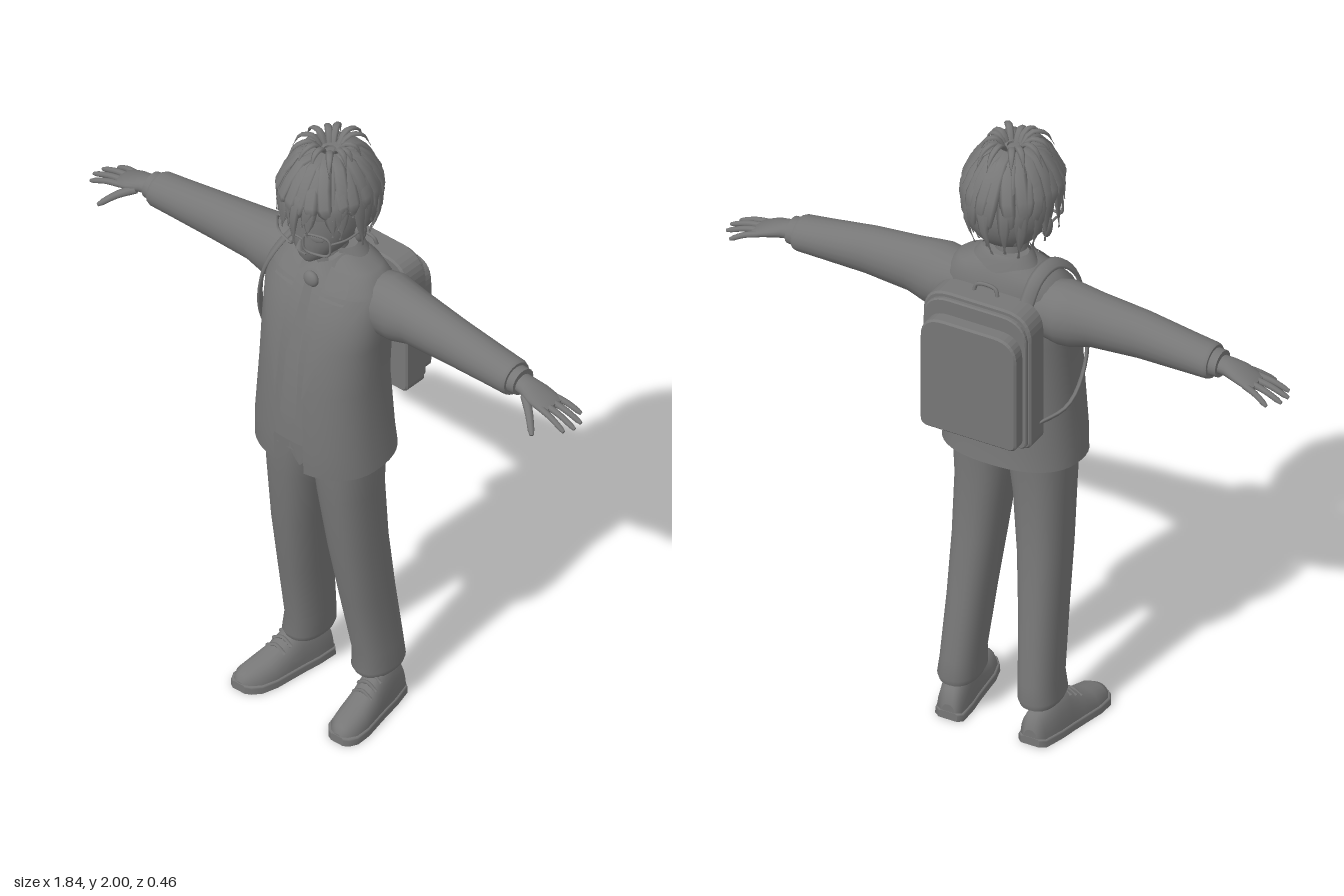
import * as THREE from 'three';

const V = (x, y, z) => new THREE.Vector3(x, y, z);
const grey = new THREE.MeshStandardMaterial({ color: 0x777777, side: THREE.DoubleSide });
grey.name = 'grey';

// skin a list of rings, each running counter-clockwise about the direction of travel
function loft(rings, { open = false, caps = !open } = {}) {
  const n = rings[0].length, pos = [], idx = [];
  rings.forEach(r => r.forEach(p => pos.push(p.x, p.y, p.z)));
  for (let i = 0; i + 1 < rings.length; i++)
    for (let j = 0; j < (open ? n - 1 : n); j++) {
      const k = (j + 1) % n, a = i * n + j, b = i * n + k;
      idx.push(a, b, a + n, b, b + n, a + n);
    }
  if (caps) [0, rings.length - 1].forEach((i, end) => {
    const c = rings[i].reduce((s, p) => s.add(p), V(0, 0, 0)).divideScalar(n);
    const base = pos.length / 3;
    [...rings[i], c].forEach(p => pos.push(p.x, p.y, p.z));
    for (let j = 0; j < n; j++) {
      const k = (j + 1) % n;
      idx.push(base + n, base + (end ? j : k), base + (end ? k : j));
    }
  });
  const g = new THREE.BufferGeometry();
  g.setAttribute('position', new THREE.Float32BufferAttribute(pos, 3));
  g.setIndex(idx);
  g.computeVertexNormals();
  return g;
}

// mirrored copy across x with corrected winding
function mirror(g) {
  const m = g.clone().scale(-1, 1, 1);
  if (m.index) {
    const a = m.index.array;
    for (let i = 0; i < a.length; i += 3) [a[i], a[i + 1]] = [a[i + 1], a[i]];
  }
  m.computeVertexNormals();
  return m;
}

const pw = (v, e) => Math.sign(v) * Math.abs(v) ** e;
// level ring: centre x, half width, front z, back z; a = half opening at the front
function ringY(y, cx, rx, zf, zb, n = 32, p = 2.4, a = 0) {
  return Array.from({ length: n }, (_, i) => {
    const t = a ? a + (Math.PI * 2 - 2 * a) * i / (n - 1) : Math.PI * 2 * i / n;
    return V(cx + rx * pw(Math.sin(t), 2 / p), y, (zf + zb) / 2 + (zf - zb) / 2 * pw(Math.cos(t), 2 / p));
  });
}
const ringX = (x, y, z, ry, rz, n = 20) => Array.from({ length: n }, (_, i) => {
  const t = Math.PI * 2 * i / n;
  return V(x, y + ry * Math.cos(t), z + rz * Math.sin(t));
});

// tapered strip swept along a smooth path; "centre" sets which way is outward
function strand(pts, width, thick, centre, taper, steps = 8, n = 6) {
  const c = new THREE.CatmullRomCurve3(pts), rings = [];
  for (let i = 0; i <= steps; i++) {
    const u = i / steps, p = c.getPoint(u), T = c.getTangent(u);
    const side = p.clone().sub(centre).cross(T).normalize();
    const out = T.clone().cross(side), k = taper(u);
    rings.push(Array.from({ length: n }, (_, j) => {
      const t = Math.PI * 2 * j / n;
      return p.clone().addScaledVector(side, width * k * Math.cos(t)).addScaledVector(out, thick * k * Math.sin(t));
    }));
  }
  return loft(rings);
}

// jacket profile: y, half width, front z, back z
const JACKET = [[0.91, 0.215, 0.215, -0.117], [1.0, 0.21, 0.22, -0.11], [1.2, 0.195, 0.212, -0.1],
  [1.35, 0.2, 0.19, -0.1], [1.45, 0.21, 0.162, -0.105], [1.53, 0.2, 0.12, -0.1],
  [1.575, 0.15, 0.085, -0.085], [1.6, 0.095, 0.07, -0.07], [1.62, 0.07, 0.055, -0.055]];
function frontZ(x, y) {
  let i = 0;
  while (i < JACKET.length - 2 && JACKET[i + 1][0] < y) i++;
  const A = JACKET[i], B = JACKET[i + 1], f = (y - A[0]) / (B[0] - A[0]);
  const [, rx, zf, zb] = A.map((v, k) => v + (B[k] - v) * f);
  const q = Math.max(0, 1 - Math.abs(x / rx) ** 2.4);
  return (zf + zb) / 2 + (zf - zb) / 2 * q ** (1 / 2.4);
}
// cloth panel lying on the chest; rows are y, x0, x1 from bottom to top
const panel = (rows, off) => loft(rows.map(([y, a, b]) => Array.from({ length: 7 }, (_, i) => {
  const x = a + (b - a) * i / 6;
  return V(x, y, frontZ(x, y) + off);
})), { open: true });

export function createModel() {
  const model = new THREE.Group();
  const add = (name, g) => {
    const m = new THREE.Mesh(g, grey);
    m.name = name;
    model.add(m);
    return m;
  };
  const pair = (name, g) => { add(name + 'Left', g); add(name + 'Right', mirror(g)); };
  const ball = (rx, ry, rz, x, y, z) => new THREE.SphereGeometry(1, 24, 16).scale(rx, ry, rz).translate(x, y, z);
  const tube = (pts, r, n = 20) => new THREE.TubeGeometry(new THREE.CatmullRomCurve3(pts), n, r, 6);

  // open jacket with a hem slightly higher at the back
  const rings = JACKET.map(([y, rx, zf, zb]) => ringY(y, 0, rx, zf, zb, 44, 2.4, 0.2));
  rings[0].forEach(p => { p.y += (0.2 - p.z) * 0.09; });
  add('jacket', loft(rings, { open: true }));
  add('vest', loft(JACKET.slice(1).map(([y, rx, zf, zb], i) =>
    ringY(i ? y : 0.97, 0, rx * 0.94, zf - 0.012, zb + 0.012))));
  pair('vestPoint', panel([[0.925, 0.03, 0.034], [0.96, 0.004, 0.065], [1.0, 0, 0.07]], -0.011));
  pair('lapel', panel([[1.18, 0.05, 0.054], [1.3, 0.05, 0.1], [1.4, 0.05, 0.14], [1.47, 0.05, 0.17], [1.52, 0.05, 0.185]], 0.007));
  pair('upperLapel', panel([[1.5, 0.05, 0.13], [1.55, 0.05, 0.125], [1.585, 0.05, 0.09]], 0.008));
  add('tie', panel([[1.055, -0.002, 0.002], [1.1, -0.03, 0.03], [1.3, -0.025, 0.025], [1.52, -0.015, 0.015]], 0.003));
  add('tieKnot', ball(0.026, 0.026, 0.016, 0, 1.535, 0.116));
  add('jacketCollar', loft([[1.575, 0.115, 0.06, -0.083], [1.615, 0.088, 0.06, -0.07], [1.63, 0.075, 0.06, -0.06]]
    .map(([y, rx, zf, zb]) => ringY(y, 0, rx, zf, zb, 32, 2, 0.6)), { open: true }));
  pair('shirtCollar', loft([[V(0.004, 1.565, 0.1), V(0.06, 1.54, 0.11), V(0.085, 1.57, 0.05)],
    [V(0.004, 1.58, 0.085), V(0.045, 1.6, 0.075), V(0.066, 1.625, 0.03)]], { open: true }));

  // sleeves, cuffs and hands
  pair('sleeve', loft([[0.1, 1.47, -0.01, 0.08, 0.08], [0.2, 1.47, -0.01, 0.1, 0.092], [0.24, 1.468, -0.008, 0.098, 0.086],
    [0.3, 1.473, -0.006, 0.084, 0.077], [0.45, 1.468, 0, 0.073, 0.066], [0.6, 1.457, 0, 0.06, 0.061],
    [0.675, 1.452, 0, 0.054, 0.059], [0.685, 1.451, 0, 0.05, 0.055]].map(r => ringX(...r))));
  pair('cuff', loft([[0.67, 1.451, 0, 0.042, 0.047], [0.71, 1.451, 0, 0.04, 0.045]].map(r => ringX(...r))));
  pair('palm', loft([[0.69, 1.45, 0, 0.028, 0.032], [0.73, 1.447, 0.002, 0.026, 0.036], [0.77, 1.437, 0.003, 0.022, 0.046],
    [0.81, 1.424, 0, 0.016, 0.046], [0.828, 1.418, 0, 0.01, 0.042]].map(r => ringX(...r))));
  [[-0.034, 0.885, -0.055], [-0.012, 0.915, -0.02], [0.012, 0.92, 0.014], [0.034, 0.905, 0.045]].forEach(([z, x, ze], i) =>
    pair('finger' + (i + 1), strand([V(0.8, 1.426, z), V((0.8 + x) / 2, 1.415, (z + ze) / 2), V(x, 1.393, ze)],
      0.011, 0.01, V(0.8, 0, 0), u => u > 0.95 ? 0.5 : 1 - 0.25 * u, 8, 8)));
  pair('thumb', strand([V(0.745, 1.435, 0.03), V(0.79, 1.41, 0.065), V(0.83, 1.375, 0.1)],
    0.015, 0.014, V(0.7, 0, 0), u => u > 0.95 ? 0.4 : 1 - 0.4 * u, 8, 8));

  // trousers: y, inner x, outer x, front z, back z
  pair('trouserLeg', loft([[0.12, 0.078, 0.188, 0.05, -0.11], [0.14, 0.07, 0.195, 0.06, -0.116], [0.2, 0.07, 0.187, 0.056, -0.112],
    [0.4, 0.055, 0.181, 0.095, -0.086], [0.6, 0.035, 0.18, 0.13, -0.062], [0.8, 0.012, 0.18, 0.155, -0.052],
    [0.92, -0.004, 0.185, 0.165, -0.06], [1.0, -0.004, 0.18, 0.165, -0.06]]
    .map(([y, a, b, zf, zb]) => ringY(y, (a + b) / 2, (b - a) / 2, zf, zb, 28))));

  // shoes: z, half width, height
  const shoe = (rows, extra, p) => loft(rows.map(([z, w, h]) => Array.from({ length: 24 }, (_, i) => {
    const t = Math.PI * 2 * i / 24, s = Math.sin(t);
    return V(0.137 + (z + 0.1) * 0.16 + (w + extra) * pw(Math.cos(t), p), s > 0 ? h * pw(s, p) : 0, z);
  })));
  const last = [[-0.108, 0.025, 0.05], [-0.095, 0.042, 0.1], [-0.03, 0.05, 0.14], [0.02, 0.051, 0.135], [0.07, 0.054, 0.1],
    [0.13, 0.058, 0.075], [0.18, 0.052, 0.065], [0.205, 0.035, 0.05], [0.215, 0.018, 0.03]];
  pair('shoe', shoe(last, 0, 0.8));
  pair('sole', shoe(last.map(([z, w]) => [z * 1.015, w, 0.026]), 0.005, 0.25));
  [[0.03, 0.127], [0.055, 0.113], [0.08, 0.098]].forEach(([z, y], i) => pair('lace' + i,
    tube([-0.035, 0, 0.035].map(x => V(0.137 + (z + 0.1) * 0.16 + x, y - (x ? 0.018 : 0), z)), 0.006, 8)));

  // neck, head and face
  add('neck', new THREE.CylinderGeometry(0.045, 0.055, 0.14, 24).translate(0, 1.62, 0.025));
  add('head', loft([[1.615, 0.018, 0.14, 0.1], [1.63, 0.042, 0.15, 0.05], [1.66, 0.075, 0.157, -0.01], [1.7, 0.1, 0.16, -0.05],
    [1.75, 0.115, 0.157, -0.08], [1.82, 0.12, 0.16, -0.1], [1.89, 0.105, 0.14, -0.085], [1.94, 0.06, 0.09, -0.03]]
    .map(([y, rx, zf, zb]) => ringY(y, 0, rx, zf, zb, 32, 2.1))));
  add('nose', new THREE.ConeGeometry(0.013, 0.04, 8).rotateX(-0.2).translate(0, 1.695, 0.163));
  add('mouth', new THREE.BoxGeometry(0.03, 0.004, 0.006).translate(0, 1.655, 0.156));
  pair('ear', ball(0.014, 0.034, 0.022, 0.115, 1.715, 0.03));
  pair('eye', ball(0.021, 0.014, 0.004, 0, 0, 0).rotateY(0.35).translate(0.05, 1.722, 0.146));

  // glasses
  const rim = Array.from({ length: 20 }, (_, i) => {
    const t = Math.PI * 2 * i / 20;
    return V(0.043 * pw(Math.cos(t), 0.6), 0.034 * pw(Math.sin(t), 0.6), 0);
  });
  pair('glassesRim', new THREE.TubeGeometry(new THREE.CatmullRomCurve3(rim, true), 40, 0.004, 6, true)
    .rotateY(0.3).translate(0.06, 1.712, 0.16));
  pair('glassesTemple', tube([V(0.1, 1.725, 0.148), V(0.122, 1.728, 0.1), V(0.124, 1.73, 0.02)], 0.0035));
  add('glassesBridge', tube([V(-0.02, 1.718, 0.171), V(0, 1.724, 0.175), V(0.02, 1.718, 0.171)], 0.0035));

  // hair: cap, back volume and layered locks falling from the crown
  add('hairCap', new THREE.SphereGeometry(1, 32, 12, 0, Math.PI * 2, 0, Math.PI * 0.52).scale(0.137, 0.14, 0.152).translate(0, 1.815, 0.037));
  add('hairBack', ball(0.134, 0.145, 0.112, 0, 1.795, -0.012));
  let seed = 7;
  const rnd = () => (seed = (seed * 16807) % 2147483647) / 2147483647;
  const core = V(0, 1.8, 0.035);
  const lock = u => 0.35 + 0.65 * Math.sin(Math.PI * Math.min(1, u * 0.6 + 0.2)) - 0.95 * u ** 4;
  for (let layer = 0; layer < 3; layer++)
    for (let i = 0; i < 20; i++) {
      const a = Math.PI * 2 * (i + layer / 3 + rnd() * 0.5) / 20, f = Math.cos(a);
      const at = (r, y, d = 0) => V(0.137 * r * Math.sin(a + d), y, 0.035 + 0.156 * r * Math.cos(a + d));
      const low = (f > 0.3 ? 1.735 : f > -0.3 ? 1.69 : 1.645) + layer * 0.035 + rnd() * 0.035;
      const tip = f > 0.3 ? 1.05 : f > -0.3 ? 1.03 : 0.82;
      const sway = (rnd() - 0.5) * 0.4;
      add('hairLock', strand([at(0.12, 1.955), at(0.62, 1.935 + rnd() * 0.015, sway * 0.3),
        at(0.98 + layer * 0.02, 1.855, sway * 0.6), at(1.02, (1.84 + low) / 2, sway), at(tip, low, sway * 1.5)],
      0.025, 0.009, core, lock));
    }
  add('centreLock', strand([V(0, 1.95, 0.1), V(0.01, 1.88, 0.18), V(0.005, 1.8, 0.2), V(0.0, 1.71, 0.19)], 0.02, 0.008, core, lock));
  for (let i = 0; i < 13; i++) {
    const a = Math.PI * 2 * (i + rnd() * 0.6) / 13, r = 0.09 + rnd() * 0.045;
    const at = (k, y) => V(k * Math.sin(a), y, 0.03 + k * Math.cos(a));
    add('crownTuft', strand([at(0.015, 1.93), at(r * 0.45, 1.98 + rnd() * 0.012), at(r * 0.8, 1.98), at(r, 1.935)], 0.012, 0.006, core, lock));
  }

  // backpack: rounded slabs stacked toward the back
  const slab = (w, y0, y1, r, z, depth, bevel) => {
    const s = new THREE.Shape(), b = 0.025;
    s.moveTo(-w + b, y0).lineTo(w - b, y0).quadraticCurveTo(w, y0, w, y0 + b).lineTo(w, y1 - r)
      .quadraticCurveTo(w, y1, w - r, y1).lineTo(-w + r, y1).quadraticCurveTo(-w, y1, -w, y1 - r)
      .lineTo(-w, y0 + b).quadraticCurveTo(-w, y0, -w + b, y0);
    return new THREE.ExtrudeGeometry(s, { depth: depth - 2 * bevel, bevelEnabled: true, bevelSize: bevel,
      bevelOffset: -bevel, bevelThickness: bevel, bevelSegments: 1, curveSegments: 8 }).translate(0, 0, z + bevel);
  };
  add('backpackBody', slab(0.178, 1.08, 1.54, 0.09, -0.182, 0.082, 0.006));
  add('backpackRim', slab(0.17, 1.085, 1.525, 0.085, -0.195, 0.02, 0.004));
  add('backpackPocket', slab(0.158, 1.095, 1.475, 0.075, -0.236, 0.05, 0.006));
  add('backpackHandle', tube([V(-0.04, 1.53, -0.13), V(-0.03, 1.56, -0.125), V(0.03, 1.56, -0.125), V(0.04, 1.53, -0.13)], 0.006));
  // single strap over the right shoulder
  add('backpackStrap', strand([V(-0.12, 1.5, -0.125), V(-0.13, 1.59, -0.06), V(-0.14, 1.597, 0.03), V(-0.165, 1.53, 0.105),
    V(-0.2, 1.4, 0.11), V(-0.222, 1.25, 0.06), V(-0.215, 1.16, -0.03), V(-0.16, 1.13, -0.13)],
  0.022, 0.006, V(0, 1.35, 0), () => 1, 32, 8));
  return model;
}
